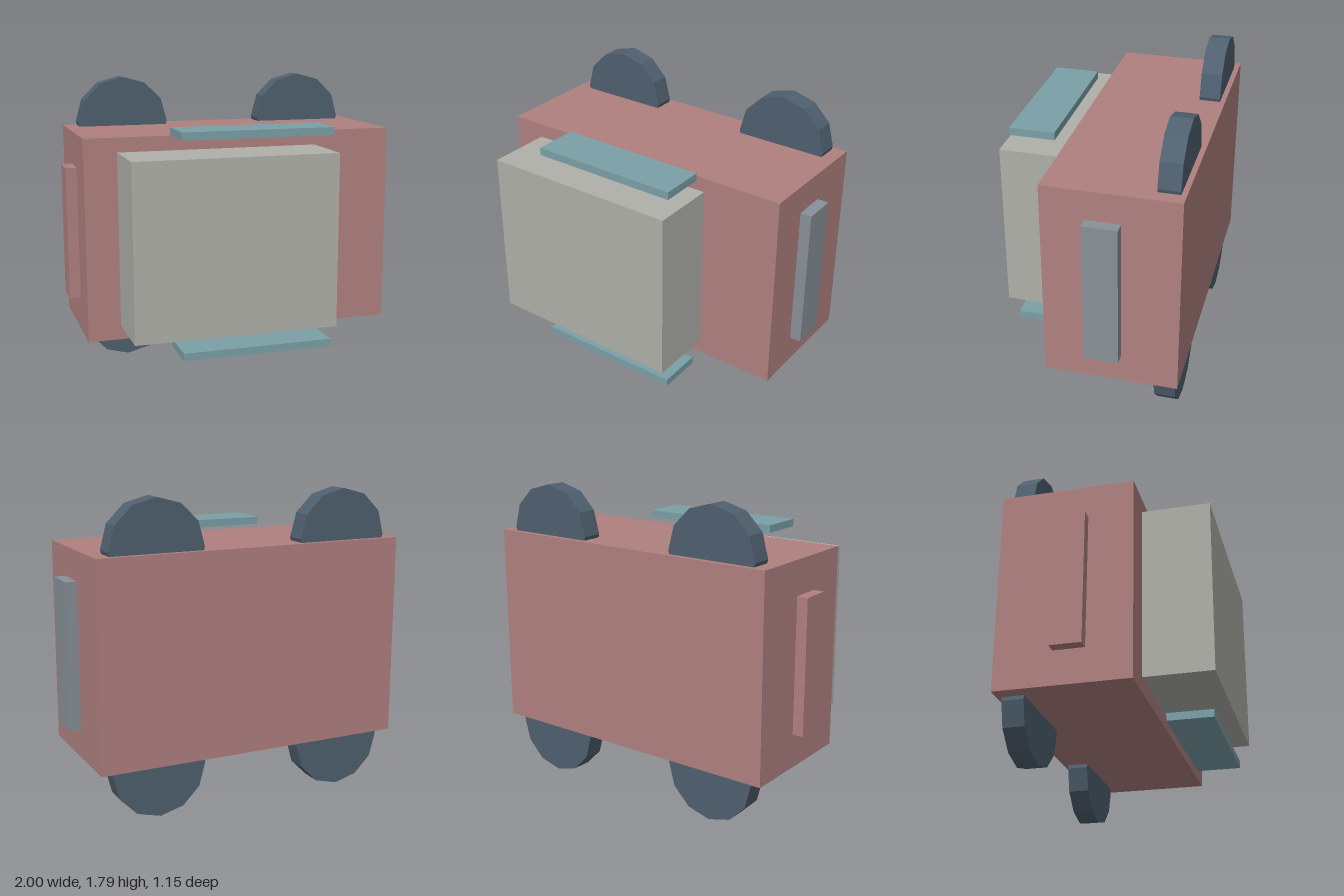
import * as THREE from 'three';

const material = (color) => new THREE.MeshStandardMaterial({ color, flatShading: true });

export function createModel() {
  const model = new THREE.Group();
  const red = material(0xb08080);
  const stone = material(0xb0b0aa);
  const slate = material(0x4f606f);
  const teal = material(0x7aa0a7);
  const steel = material(0x889097);

  // Box given by its extents along each axis
  function box(name, mat, [x0, x1], [y0, y1], [z0, z1]) {
    const mesh = new THREE.Mesh(new THREE.BoxGeometry(x1 - x0, y1 - y0, z1 - z0), mat);
    mesh.position.set((x0 + x1) / 2, (y0 + y1) / 2, (z0 + z1) / 2);
    mesh.name = name;
    model.add(mesh);
  }

  // Main block and the off-centre block on its front
  box('body', red, [-0.935, 0.932], [0.304, 1.493], [-0.577, 0.187]);
  box('frontBlock', stone, [-0.743, 0.455], [0.388, 1.408], [0.187, 0.577]);

  // Side panels
  box('leftPanel', steel, [0.932, 1], [0.472, 1.323], [-0.255, -0.058]);
  box('rightPanel', red, [-1, -0.935], [0.504, 1.293], [-0.248, -0.07]);

  // Floating slabs above and below the front block
  box('upperSlab', teal, [-0.449, 0.445], [1.503, 1.548], [0.25, 0.516]);
  box('lowerSlab', teal, [-0.449, 0.445], [0.247, 0.292], [0.25, 0.516]);

  // Twelve-sided wheels half sunk into the top and bottom of the body
  const wheelGeometry = new THREE.CylinderGeometry(0.278, 0.278, 0.123, 12).rotateX(Math.PI / 2);
  for (const [height, y] of [['upper', 1.514], ['lower', 0.28]]) {
    for (const [side, x] of [['Left', 0.577], ['Right', -0.58]]) {
      const wheel = new THREE.Mesh(wheelGeometry, slate);
      wheel.name = `${height}${side}Wheel`;
      wheel.position.set(x, y, -0.485);
      model.add(wheel);
    }
  }
  return model;
}
